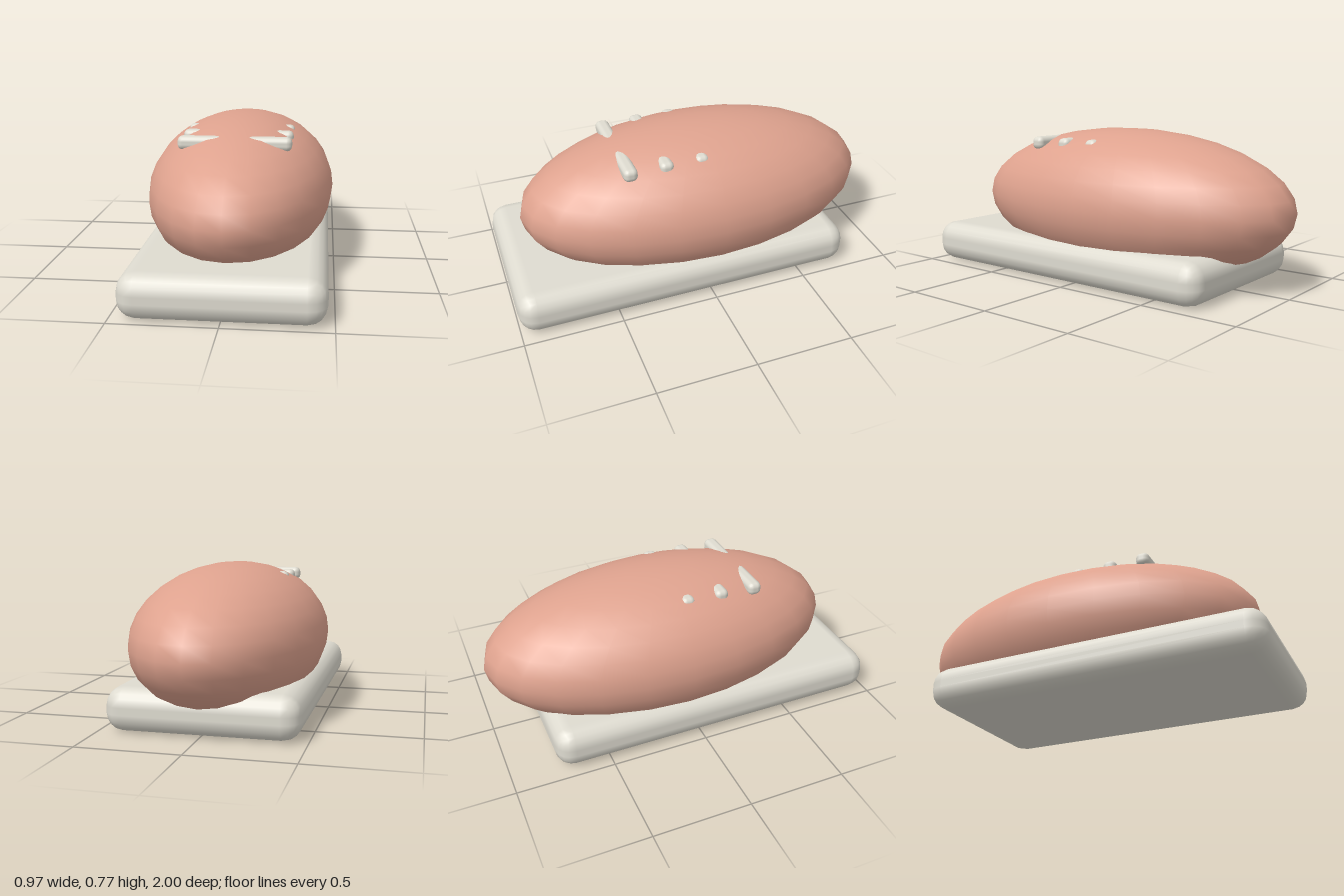
import * as THREE from 'three';
import { RoundedBoxGeometry } from 'three/addons/geometries/RoundedBoxGeometry.js';

export function createModel() {
  const model = new THREE.Group();
  const crust = new THREE.MeshStandardMaterial({ color: 0xdea28e });
  crust.name = 'warm crust';
  const cream = new THREE.MeshStandardMaterial({ color: 0xdedbd0 });
  cream.name = 'cream';

  const add = (name, geometry, material, x, y, z) => {
    const mesh = new THREE.Mesh(geometry, material);
    mesh.name = name;
    mesh.position.set(x, y, z);
    model.add(mesh);
    return mesh;
  };

  // Rounded slab the loaf rests on
  add('base', new RoundedBoxGeometry(0.936, 0.215, 1.77, 2, 0.09), cream, 0, 0.1075, 0.115);

  // Stretched loaf, sunk into the slab
  const loaf = new THREE.SphereGeometry(1, 24, 16).scale(0.485, 0.38, 0.942);
  add('loaf', loaf, crust, 0, 0.39, -0.058);

  // Three bars crossing the loaf, only their ends showing through the top
  [0.365, 0.18, -0.003].forEach((z, i) => {
    const bar = new RoundedBoxGeometry(0.56, 0.068, 0.072, 2, 0.027);
    add(`crossBar${i + 1}`, bar, cream, 0, 0.686, z);
  });

  return model;
}
